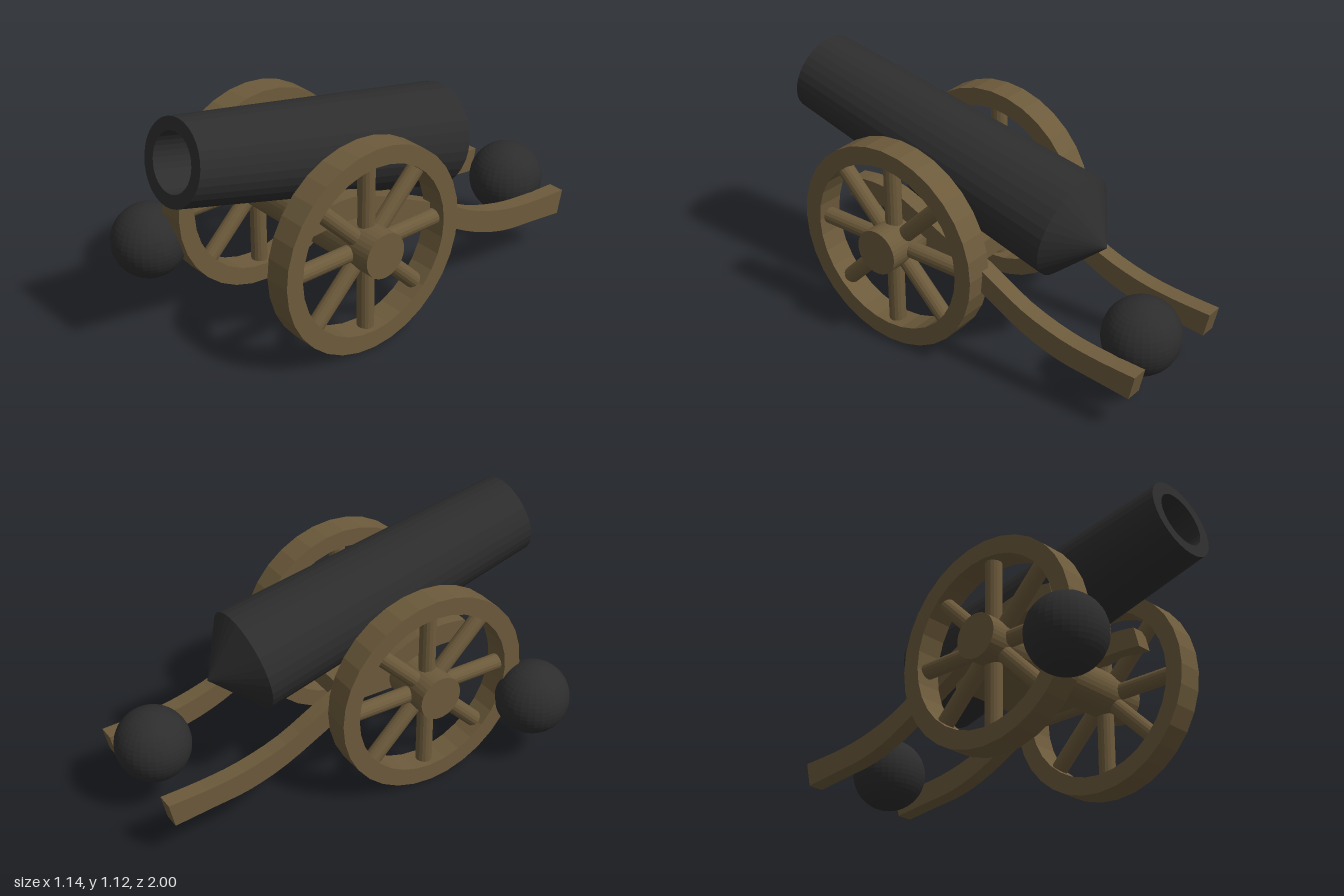
import * as THREE from 'three';

const iron = new THREE.MeshStandardMaterial({ color: 0x2d2d2d });
iron.name = 'darkIron';
const wood = new THREE.MeshStandardMaterial({ color: 0x6c5a3b });
wood.name = 'brownWood';

const CENTER_X = 0.11;                    // middle of the carriage
const AXLE = { y: 0.463, z: 0.265 };

// Adds a mesh with faceted normals
function add(parent, name, geometry, material, x = 0, y = 0, z = 0) {
  const flat = geometry.index ? geometry.toNonIndexed() : geometry;
  flat.computeVertexNormals();
  const mesh = new THREE.Mesh(flat, material);
  mesh.name = name;
  mesh.position.set(x, y, z);
  parent.add(mesh);
  return mesh;
}

// Extrudes a (z, y) outline along x, centred on x = 0
function extrudeAlongX(shape, width, curveSegments) {
  const g = new THREE.ExtrudeGeometry(shape, { depth: width, bevelEnabled: false, curveSegments });
  return g.translate(0, 0, -width / 2).rotateY(-Math.PI / 2);
}

function makeWheel(name, x) {
  const wheel = new THREE.Group();
  wheel.name = name;
  wheel.position.set(x, AXLE.y, AXLE.z);

  // Rim
  const ring = new THREE.Shape().absarc(0, 0, 0.463, 0, Math.PI * 2, false);
  ring.holes.push(new THREE.Path().absarc(0, 0, 0.382, 0, Math.PI * 2, true));
  add(wheel, 'rim', extrudeAlongX(ring, 0.122, 16), wood);

  // Spokes run from the hub to the rim
  for (let i = 0; i < 8; i++) {
    const spoke = new THREE.CylinderGeometry(0.037, 0.037, 0.33, 16, 1);
    spoke.translate(0, 0.225, 0).rotateX(i * Math.PI / 4);
    add(wheel, 'spoke', spoke, wood);
  }
  return wheel;
}

// Curved side rail that sweeps down to the trail
function makeRail() {
  const v = (z, y) => new THREE.Vector2(z, y);
  const top = [v(0.51, 0.69), v(0.4, 0.703), v(0.27, 0.69), v(0.1, 0.62), v(-0.19, 0.485),
    v(-0.4, 0.375), v(-0.6, 0.315), v(-0.78, 0.292), v(-0.96, 0.284)];
  const bottom = [v(-0.935, 0.172), v(-0.75, 0.192), v(-0.58, 0.212), v(-0.4, 0.27), v(-0.19, 0.378),
    v(0.08, 0.52), v(0.25, 0.585), v(0.38, 0.603), v(0.535, 0.594)];
  const outline = [...new THREE.SplineCurve(top).getPoints(24), ...new THREE.SplineCurve(bottom).getPoints(24)];
  return extrudeAlongX(new THREE.Shape(outline), 0.075, 1);
}

export function createModel() {
  const model = new THREE.Group();
  model.name = 'cannon';

  // Barrel: pointed breech, tapering tube, open bore
  const profile = [[0, -0.18], [0.233, 0], [0.181, 1.416], [0.125, 1.416], [0.125, 0.6], [0, 0.6]]
    .map(([r, h]) => new THREE.Vector2(r, h));
  const barrel = add(model, 'barrel', new THREE.LatheGeometry(profile, 32), iron, CENTER_X, 0.63, -0.42);
  barrel.rotation.x = 1.346;

  // Axle, ending in the hubs
  const axle = new THREE.CylinderGeometry(0.101, 0.101, 0.954, 32).rotateZ(Math.PI / 2);
  add(model, 'axle', axle, wood, 0.092, AXLE.y + 0.004, AXLE.z);

  // Wheels
  model.add(makeWheel('rightWheel', -0.274), makeWheel('leftWheel', 0.449));

  // Side rails and the plank joining them
  add(model, 'rightRail', makeRail(), wood, -0.168);
  add(model, 'leftRail', makeRail(), wood, 0.392);
  add(model, 'crossPlank', new THREE.BoxGeometry(0.5, 0.09, 0.35), wood, CENTER_X, 0.46, 0.095);

  // Cannonballs
  for (const [name, x, z] of [['frontBall', -0.402, 0.76], ['rearBall', 0.19, -0.832]]) {
    add(model, name, new THREE.SphereGeometry(0.168, 32, 24), iron, x, 0.306, z);
  }
  return model;
}
